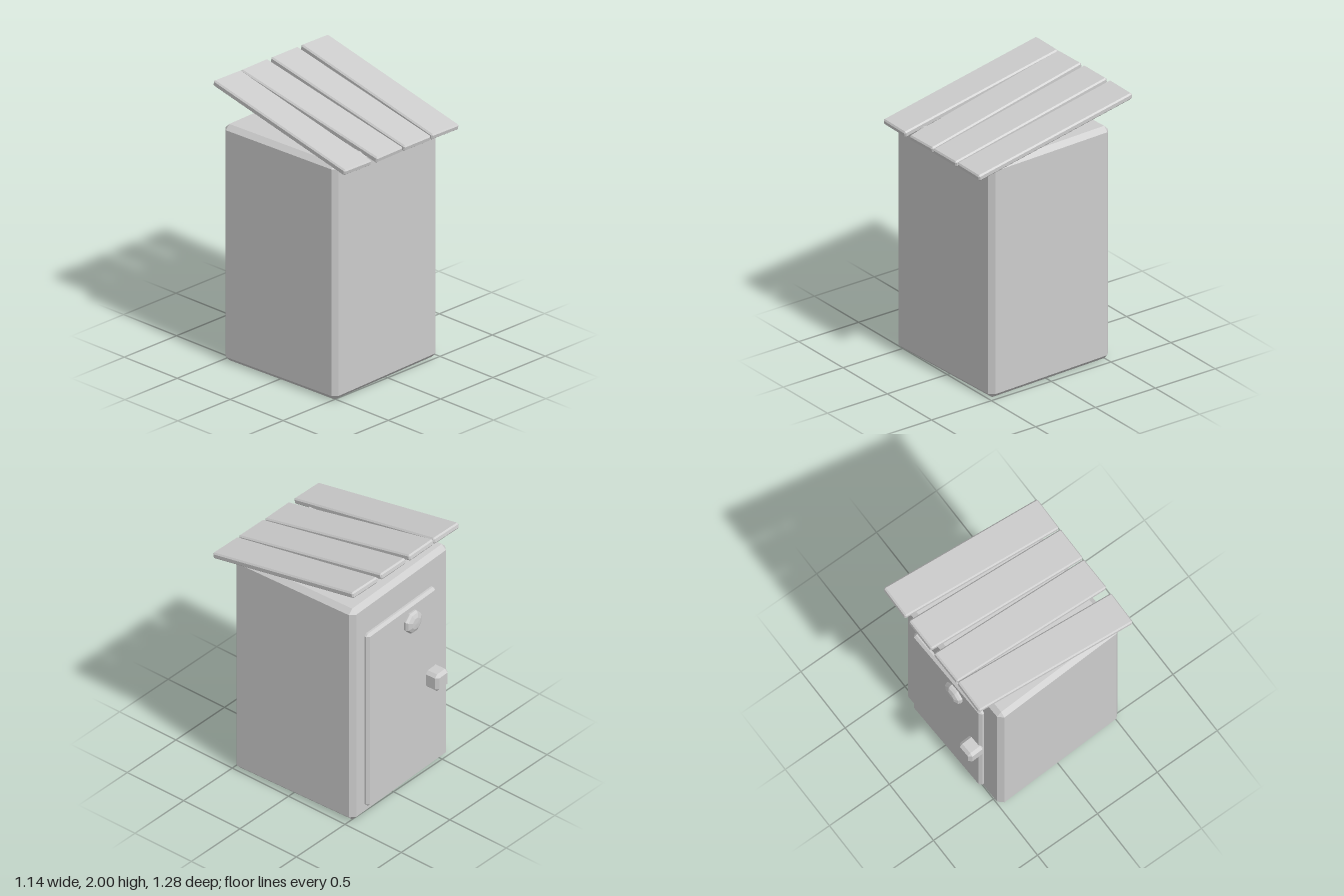
import * as THREE from 'three';
import { ConvexGeometry } from 'three/addons/geometries/ConvexGeometry.js';

const grey = new THREE.MeshStandardMaterial({ color: 0xcccccc });
grey.name = 'plainGrey';
grey.flatShading = true;

// Box with flat chamfers on every edge
function chamferBox(w, h, d, c) {
  const points = [];
  for (const sx of [-1, 1]) for (const sy of [-1, 1]) for (const sz of [-1, 1]) {
    const x = w / 2, y = h / 2, z = d / 2;
    points.push(
      new THREE.Vector3(sx * x, sy * (y - c), sz * (z - c)),
      new THREE.Vector3(sx * (x - c), sy * y, sz * (z - c)),
      new THREE.Vector3(sx * (x - c), sy * (y - c), sz * z)
    );
  }
  return new ConvexGeometry(points);
}

function addPart(parent, name, geometry, x, y, z) {
  const mesh = new THREE.Mesh(geometry, grey);
  mesh.name = name;
  mesh.position.set(x, y, z);
  parent.add(mesh);
  return mesh;
}

export function createModel() {
  const model = new THREE.Group();
  model.name = 'outhouse';

  // Cabin, turned slightly, with its door on the back
  const cabin = new THREE.Group();
  cabin.name = 'cabin';
  cabin.position.x = -0.04;
  cabin.rotation.y = 0.0366;
  model.add(cabin);
  addPart(cabin, 'body', chamferBox(1.033, 1.735, 1.033, 0.035), 0, 0.8675, 0);
  addPart(cabin, 'door', chamferBox(0.735, 1.415, 0.07, 0.018), 0.025, 0.7825, -0.514);
  addPart(cabin, 'handle', chamferBox(0.13, 0.135, 0.13, 0.022), -0.29, 0.787, -0.585);

  // Round faceted peephole
  const profile = [[0, -0.03], [0.08, -0.03], [0.086, 0.015], [0.075, 0.033], [0.045, 0.047], [0, 0.05]]
    .map(([r, y]) => new THREE.Vector2(r, y));
  const peephole = addPart(cabin, 'peephole', new THREE.LatheGeometry(profile, 8), -0.07, 1.358, -0.548);
  peephole.rotation.set(-Math.PI / 2, Math.PI / 8, 0);

  // Sloping roof of loose planks
  const roof = new THREE.Group();
  roof.name = 'roof';
  roof.position.y = 1.845;
  roof.rotation.x = 0.207;
  model.add(roof);
  const plank = chamferBox(0.255, 0.045, 1.294, 0.01);
  [[-0.406, -0.018], [-0.126, 0.018], [0.152, 0], [0.43, -0.018]].forEach(([x, yaw], i) => {
    addPart(roof, 'roofPlank' + (i + 1), plank, x, 0, 0).rotation.y = yaw;
  });

  return model;
}
